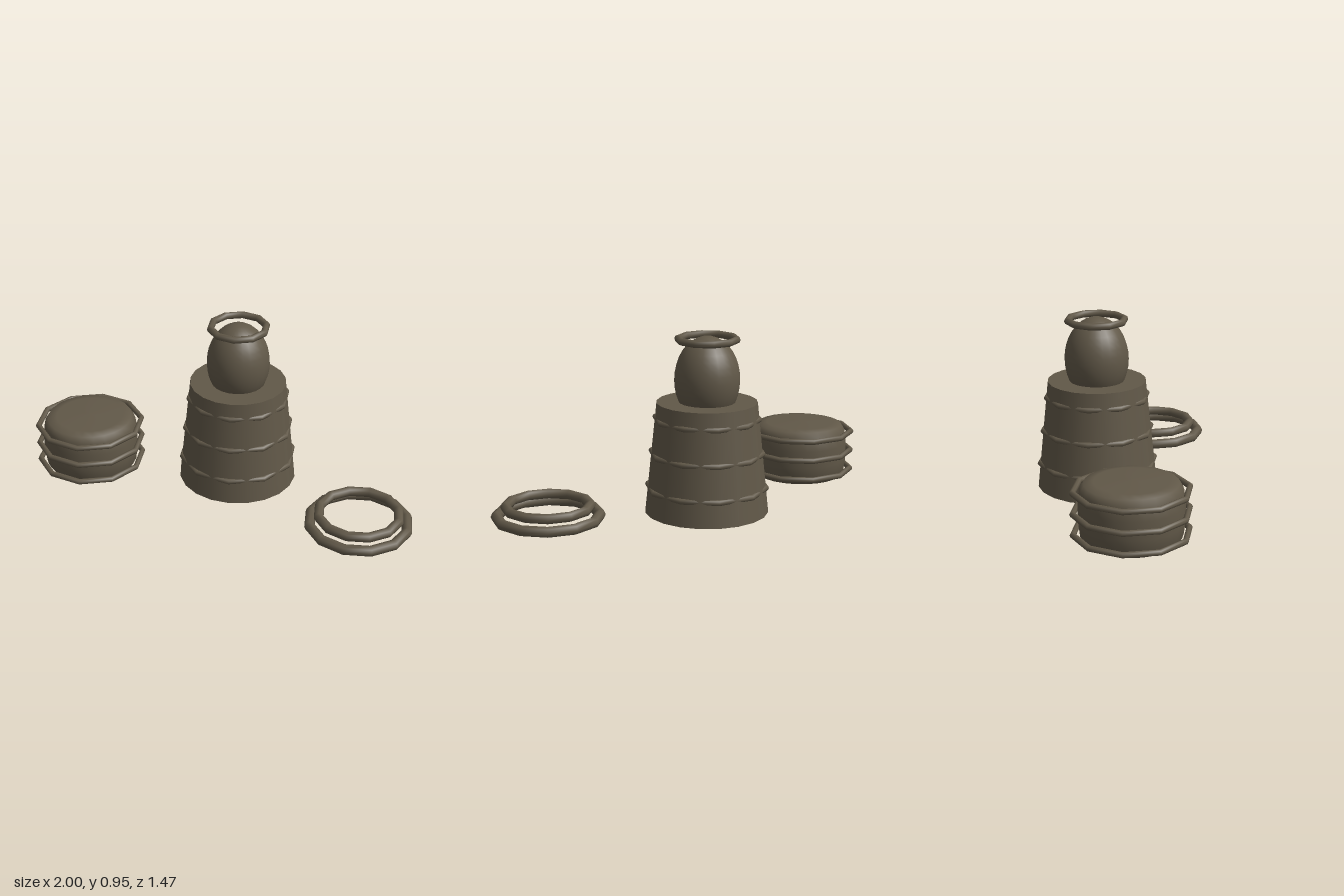
import * as THREE from 'three';

const wood = new THREE.MeshStandardMaterial({ color: 0x615848 });
wood.name = 'dark brown';

function part(name, geometry, x, y, z) {
  const mesh = new THREE.Mesh(geometry, wood);
  mesh.name = name;
  mesh.position.set(x, y, z);
  return mesh;
}

// Horizontal hoop given by its outer radius, with one corner on the x axis
function hoop(name, outer, tube, sides, x, y, z) {
  const g = new THREE.TorusGeometry(outer - tube, tube, 8, sides);
  g.rotateX(Math.PI / 2);
  return part(name, g, x, y, z);
}

export function createModel() {
  const model = new THREE.Group();

  // Tapered barrel with three hoops whose corners poke through the wall
  const tall = new THREE.Group();
  tall.name = 'tallBarrel';
  tall.position.set(0.135, 0, -0.22);
  tall.add(part('barrelBody', new THREE.CylinderGeometry(0.27, 0.333, 0.6, 20), 0, 0.3, 0));
  for (const [y, r] of [[0.135, 0.335], [0.322, 0.315], [0.51, 0.293]]) {
    tall.add(hoop('barrelHoop', r, 0.016, 10, 0, y, 0));
  }

  // Egg-shaped pot on the barrel with a ring around its crown
  const egg = new THREE.SphereGeometry(0.175, 24, 18);
  egg.scale(1, 1.33, 1);
  tall.add(part('pot', egg, 0, 0.72, 0));
  tall.add(hoop('potRing', 0.175, 0.02, 10, 0, 0.935, 0));
  model.add(tall);

  // Low rounded cask with three loose hoops
  const cask = new THREE.Group();
  cask.name = 'lowCask';
  cask.position.set(-0.69, 0, -0.44);
  const profile = [
    [0, 0.004], [0.19, 0.008], [0.24, 0.018], [0.261, 0.05], [0.27, 0.12],
    [0.27, 0.215], [0.261, 0.285], [0.24, 0.318], [0.19, 0.327], [0, 0.332],
  ].map(([r, y]) => new THREE.Vector2(r, y));
  cask.add(part('caskBody', new THREE.LatheGeometry(profile, 24), 0, 0, 0));
  for (const y of [0.057, 0.168, 0.279]) {
    cask.add(hoop('caskHoop', 0.312, 0.016, 10, 0, y, 0));
  }
  model.add(cask);

  // Two rings stacked on the ground
  const rings = new THREE.Group();
  rings.name = 'ringStack';
  rings.position.set(0.693, 0, 0.437);
  rings.add(hoop('lowerRing', 0.3, 0.029, 12, 0, 0.039, 0));
  rings.add(hoop('upperRing', 0.249, 0.027, 12, 0, 0.092, 0));
  model.add(rings);

  return model;
}
